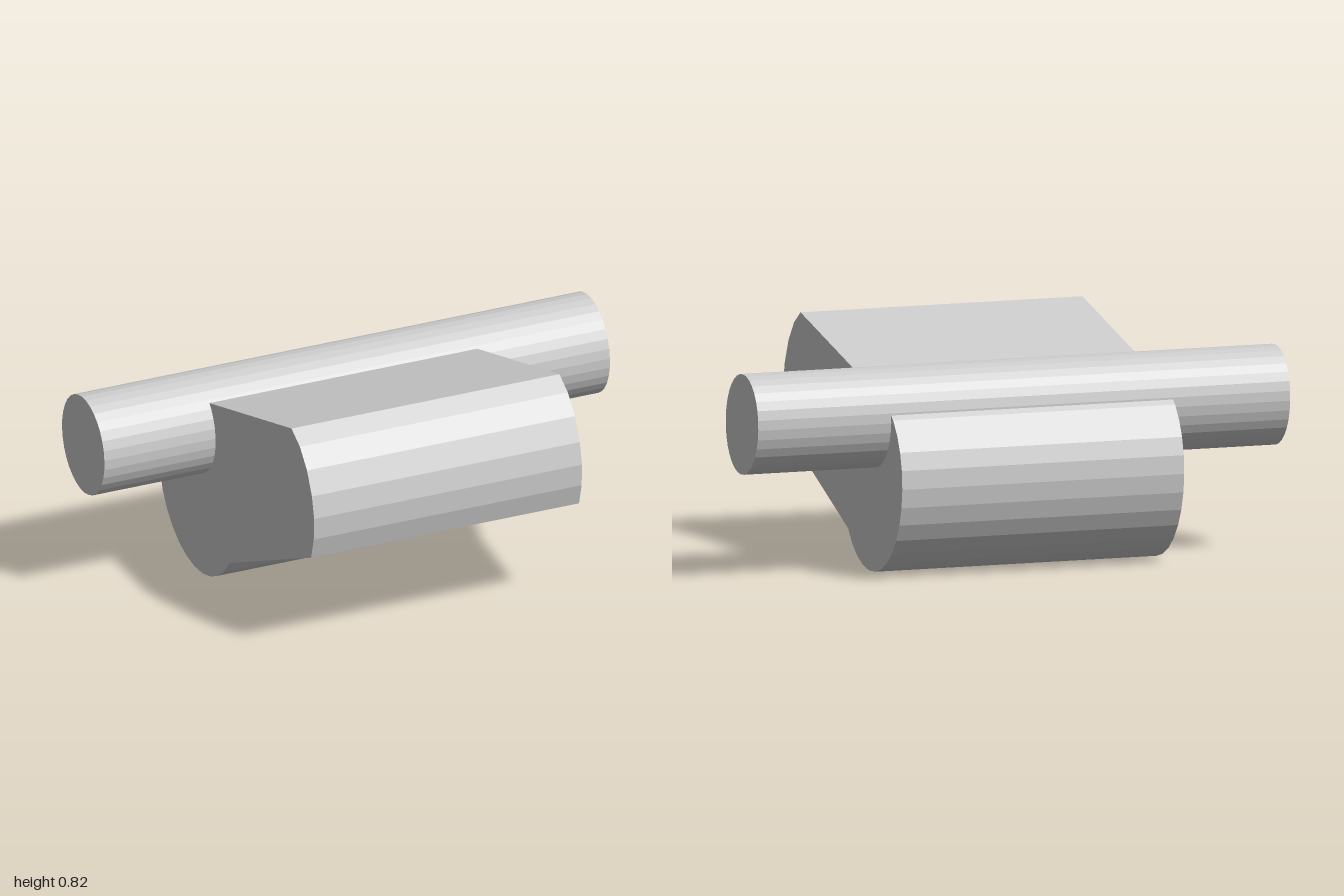
import * as THREE from 'three';

// Points on a slightly skewed ellipse; u runs backwards (-z), v is up
function ellipseArc(cu, cv, ru, rv, from, to, steps) {
  const skew = 0.0686;
  return Array.from({ length: steps + 1 }, (_, i) => {
    const t = from + ((to - from) * i) / steps;
    return new THREE.Vector2(cu + ru * Math.cos(t - skew), cv + rv * Math.sin(t));
  });
}

// Extrude a side profile along x between two positions
function sideExtrusion(name, points, x0, x1) {
  const geometry = new THREE.ExtrudeGeometry(new THREE.Shape(points), {
    depth: x1 - x0, bevelEnabled: false, steps: 1,
  });
  geometry.rotateY(Math.PI / 2).translate(x0, 0, 0);
  const material = new THREE.MeshStandardMaterial({ color: 0xcccccc, flatShading: true });
  const mesh = new THREE.Mesh(geometry, material);
  mesh.name = name;
  return mesh;
}

export function createModel() {
  const group = new THREE.Group();
  group.name = 'latchBlock';

  // Body: rounded rear lobe, tapering arm and curved nose
  const lobe = ellipseArc(0.3, 0.322, 0.3, 0.322, -2.464, 1.5, 19);
  const nose = [
    [-0.425, 0.82], [-0.49, 0.775], [-0.545, 0.705], [-0.583, 0.62],
    [-0.6, 0.54], [-0.597, 0.46], [-0.577, 0.383],
  ].map(([u, v]) => new THREE.Vector2(u, v));
  group.add(sideExtrusion('body', [...lobe, ...nose], -0.56, 0.5));

  // Cross shaft sunk into the top of the body
  const shaft = ellipseArc(0.325, 0.556, 0.164, 0.18, 0, Math.PI * 2, 32);
  shaft.pop();
  group.add(sideExtrusion('crossShaft', shaft, -1, 1));

  return group;
}
